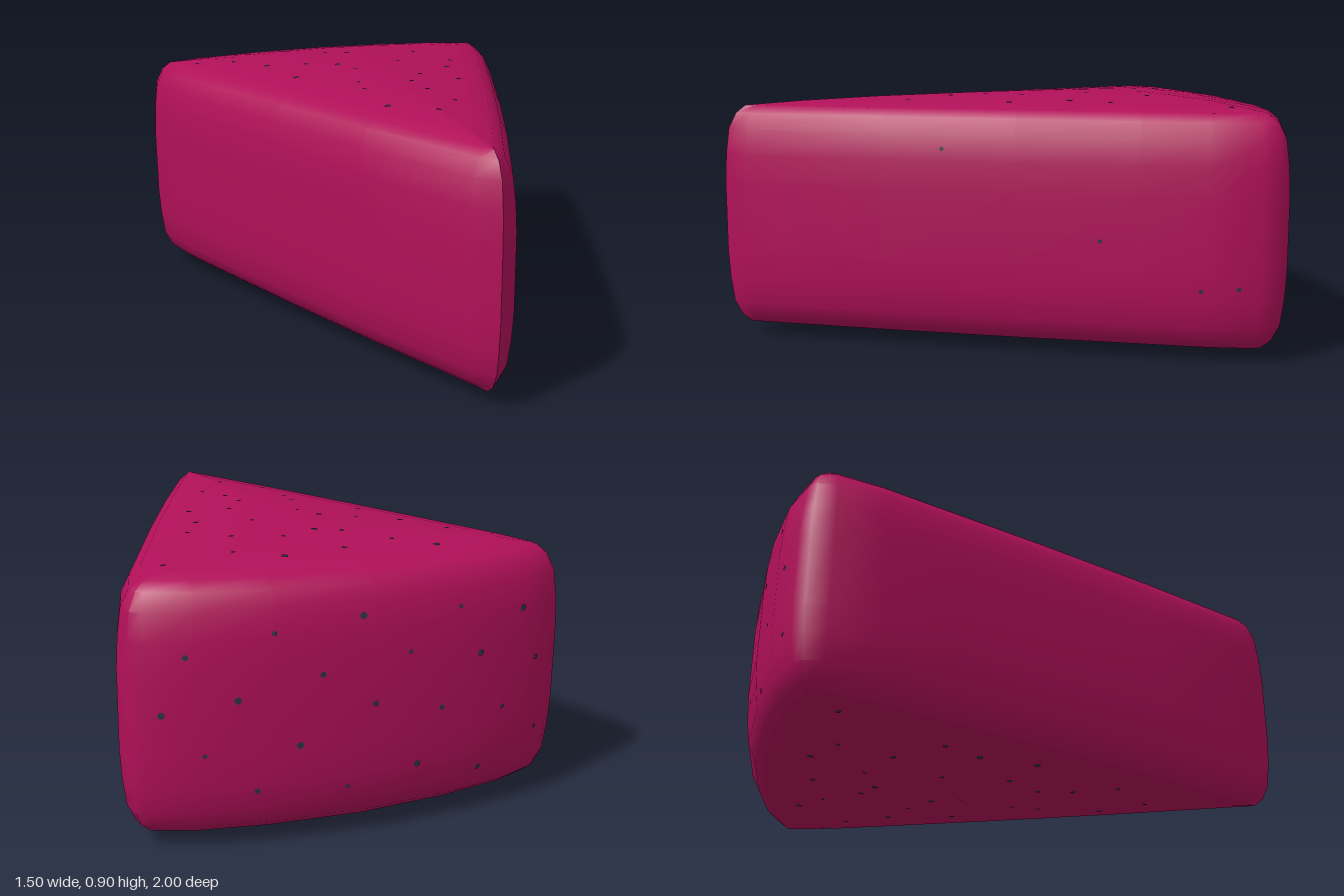
import * as THREE from 'three';
import { toCreasedNormals, mergeGeometries } from 'three/addons/utils/BufferGeometryUtils.js';

const flesh = new THREE.MeshStandardMaterial({ color: 0xb01058 });
flesh.name = 'magenta';
const dark = new THREE.MeshStandardMaterial({ color: 0x2a3642 });
dark.name = 'dark slate';

// Half of the wedge outline in plan (x, z), from the tip round to the middle of the back
const half = [
  [0, 1], [0.08, 0.93], [0.285, 0.46], [0.465, 0.02], [0.62, -0.38], [0.705, -0.6], [0.75, -0.77],
  [0.738, -0.845], [0.7, -0.88], [0.56, -0.935], [0.32, -0.978], [0, -1],
];
const outline = [...half, ...half.slice(1, -1).reverse().map(([x, z]) => [-x, z])];

// Upper half of the side profile: inset from the outline, scale towards the centre, height
const upper = [
  [0, 1, 0.58], [0.006, 1, 0.68], [0.018, 1, 0.77], [0.045, 1, 0.825], [0.08, 1, 0.853],
  [0.08, 0.85, 0.867], [0.08, 0.65, 0.88], [0.08, 0.4, 0.89], [0.08, 0.2, 0.895], [0.08, 0, 0.897],
];
const HEIGHT = 0.9, CENTRE_Z = -0.45;

function wedgeGeometry() {
  const profile = [...upper.map(([d, s, y]) => [d, s, HEIGHT - y]).reverse(), ...upper];
  const n = outline.length;
  const positions = [], index = [];
  for (const [inset, scale, y] of profile) {
    outline.forEach(([x, z], i) => {
      const a = outline[(i + n - 1) % n], b = outline[(i + 1) % n];
      // outward normal, averaged from both neighbouring edges
      const ta = new THREE.Vector2(x - a[0], z - a[1]).normalize();
      const t = new THREE.Vector2(b[0] - x, b[1] - z).normalize().add(ta).normalize();
      const px = x + t.y * inset, pz = z - t.x * inset;
      positions.push(px * scale, y, CENTRE_Z + (pz - CENTRE_Z) * scale);
    });
  }
  const last = profile.length - 2;
  for (let j = 0; j <= last; j++) {
    for (let i = 0; i < n; i++) {
      const k = (i + 1) % n;
      const a = j * n + i, b = j * n + k, c = b + n, d = a + n;
      if (j > 0) index.push(a, b, c);
      if (j < last) index.push(a, c, d);
      if (j === last) index[index.length - 1] = d;
    }
  }
  const geometry = new THREE.BufferGeometry();
  geometry.setAttribute('position', new THREE.Float32BufferAttribute(positions, 3));
  geometry.setIndex(index);
  return toCreasedNormals(geometry, 0.7);
}

// Speck positions on the top (x, z); the underside reuses them mirrored
const topSpecks = [
  [-0.58, -0.67], [-0.45, -0.59], [-0.31, -0.78], [-0.19, -0.7], [0, -0.75], [0.21, -0.77], [0.35, -0.69],
  [0.58, -0.71], [-0.35, -0.44], [-0.21, -0.38], [-0.07, -0.57], [0.01, -0.53], [0.14, -0.58], [0.29, -0.5],
  [-0.1, -0.31], [0.15, -0.31], [0.39, -0.34], [-0.3, -0.2], [-0.06, -0.21], [0.15, -0.07], [0.32, -0.21],
  [-0.12, 0], [0.07, 0.05], [0.28, 0], [-0.13, 0.1], [0.08, 0.18], [-0.13, 0.34], [0.12, 0.34], [0, 0.48],
];

// Speck positions on the curved back (x, y)
const backSpecks = [
  [-0.64, 0.25], [-0.62, 0.5], [-0.55, 0.68], [-0.48, 0.36], [-0.4, 0.16], [-0.38, 0.56], [-0.3, 0.72],
  [-0.24, 0.4], [-0.16, 0.22], [-0.12, 0.6], [0, 0.45], [0.04, 0.73], [0.08, 0.18], [0.17, 0.56],
  [0.24, 0.34], [0.32, 0.7], [0.37, 0.2], [0.43, 0.5], [0.53, 0.33], [0.58, 0.64], [0.65, 0.46],
];

// A few specks on the cut sides (z, y)
const sideSpecks = [[-0.58, 0.26], [-0.7, 0.27], [0.25, 0.72], [-0.26, 0.42]];

export function createModel() {
  const model = new THREE.Group();
  model.name = 'wedge';

  const body = new THREE.Mesh(wedgeGeometry(), flesh);
  body.name = 'wedgeBody';
  model.add(body);
  body.updateMatrixWorld(true);

  // Drops a thin disc on the body where a ray meets it
  const ray = new THREE.Raycaster();
  const front = new THREE.Vector3(0, 0, 1);
  function speck(origin, direction, i) {
    ray.set(new THREE.Vector3(...origin), new THREE.Vector3(...direction));
    const hit = ray.intersectObject(body)[0];
    if (!hit) return null;
    const disc = new THREE.CircleGeometry(0.008 + 0.002 * (i % 3), 6);
    disc.applyQuaternion(new THREE.Quaternion().setFromUnitVectors(front, hit.face.normal));
    const p = hit.point.addScaledVector(hit.face.normal, 0.003);
    return disc.translate(p.x, p.y, p.z);
  }
  function addSpecks(name, discs) {
    const mesh = new THREE.Mesh(mergeGeometries(discs.filter(Boolean)), dark);
    mesh.name = name;
    model.add(mesh);
  }

  addSpecks('topSpecks', topSpecks.map(([x, z], i) => speck([x, 2, z], [0, -1, 0], i)));
  addSpecks('bottomSpecks', topSpecks.map(([x, z], i) => speck([-x, -2, z], [0, 1, 0], i)));
  addSpecks('backSpecks', backSpecks.map(([x, y], i) => speck([x, y, -2], [0, 0, 1], i)));
  addSpecks('sideSpecks', sideSpecks.map(([z, y]) => speck([2, y, z], [-1, 0, 0], 0)));
  return model;
}
